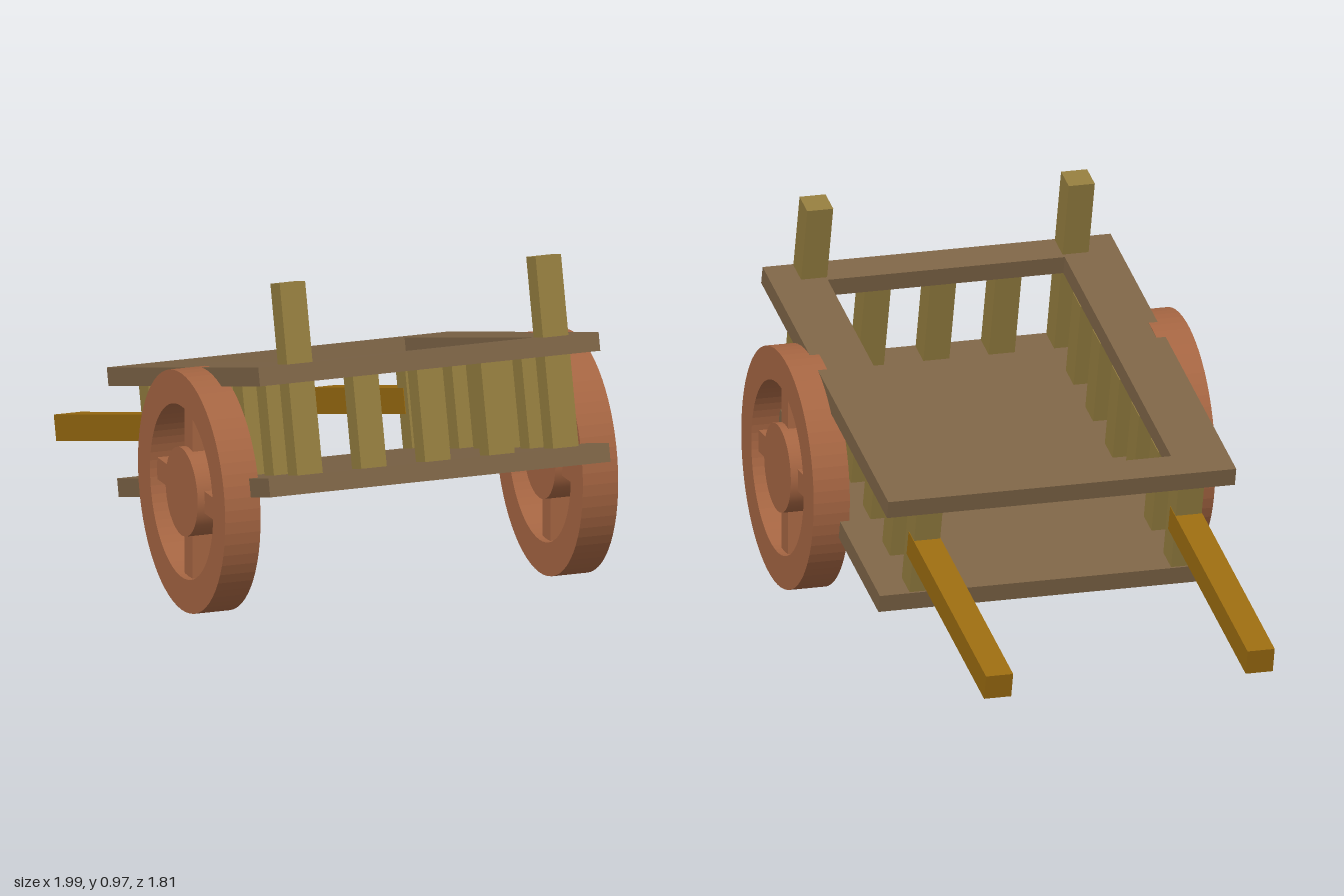
import * as THREE from 'three';

const makeMaterial = (name, color) => {
  const m = new THREE.MeshStandardMaterial({ color });
  m.name = name;
  return m;
};

export function createModel() {
  const frameWood = makeMaterial('frame wood', 0x7d6446);
  const stakeWood = makeMaterial('stake wood', 0x937c3e);
  const handleWood = makeMaterial('handle wood', 0x9a6b10);
  const wheelWood = makeMaterial('wheel wood', 0xa56542);

  const add = (parent, name, geometry, material, x = 0, y = 0, z = 0) => {
    const mesh = new THREE.Mesh(geometry, material);
    mesh.name = name;
    mesh.position.set(x, y, z);
    parent.add(mesh);
    return mesh;
  };

  const model = new THREE.Group();
  model.name = 'handcart';

  // The whole cart is turned about the vertical; its rear points along local +z
  const cart = new THREE.Group();
  cart.name = 'cart';
  cart.rotation.y = Math.atan2(0.795, 0.606);
  cart.position.set(0.007, 0, -0.01);
  model.add(cart);

  // Tilted body, resting with its handles down
  const body = new THREE.Group();
  body.name = 'body';
  body.rotation.x = -THREE.MathUtils.degToRad(15);
  body.position.set(0, 0.275, 0.304);
  cart.add(body);

  const W = 0.963, L = 1.168, T = 0.05;
  const railBase = 0.295;
  add(body, 'deck', new THREE.BoxGeometry(W, T, L), frameWood, 0, T / 2, 0);

  // Top rail: a flat rectangle with a rectangular opening
  const rect = (target, w, l) => {
    target.moveTo(-w / 2, -l / 2);
    target.lineTo(w / 2, -l / 2);
    target.lineTo(w / 2, l / 2);
    target.lineTo(-w / 2, l / 2);
    target.closePath();
    return target;
  };
  const railShape = rect(new THREE.Shape(), W, L);
  railShape.holes.push(rect(new THREE.Path(), 0.656, L - 0.18));
  const railGeo = new THREE.ExtrudeGeometry(railShape, { depth: T, bevelEnabled: false });
  railGeo.rotateX(-Math.PI / 2);
  add(body, 'topRail', railGeo, frameWood, 0, railBase, 0);

  // Stakes between deck and rail
  const S = 0.072, stakeX = 0.362, stakeZ = 0.543;
  const addStake = (name, x, z, top) =>
    add(body, name, new THREE.BoxGeometry(S, top - T, S), stakeWood, x, (top + T) / 2, z);
  for (const side of [-1, 1]) {
    for (let i = 0; i < 6; i++) {
      addStake('sideStake', side * stakeX, -stakeZ + (i * stakeZ) / 3, railBase);
    }
    addStake('rearPost', side * stakeX, stakeZ, 0.56);

    // Pulling handles
    add(body, 'handle', new THREE.BoxGeometry(0.075, 0.07, 0.72), handleWood,
      side * stakeX, 0.176, -0.892);
  }
  for (let i = -1; i <= 1; i++) addStake('rearStake', (i * stakeX) / 2, stakeZ, railBase);

  // Wheels: rim, hub and four spokes
  const R = 0.325, rimInner = 0.235, depth = 0.1;
  const rimShape = new THREE.Shape().absarc(0, 0, R, 0, Math.PI * 2, false);
  rimShape.holes.push(new THREE.Path().absarc(0, 0, rimInner, 0, Math.PI * 2, true));
  const rimGeo = new THREE.ExtrudeGeometry(rimShape, { depth, bevelEnabled: false, curveSegments: 32 });
  rimGeo.translate(0, 0, -depth / 2);
  rimGeo.rotateY(Math.PI / 2);
  const hubGeo = new THREE.CylinderGeometry(0.12, 0.12, depth, 32);
  hubGeo.rotateZ(Math.PI / 2);
  const spokeGeo = new THREE.BoxGeometry(0.06, 0.15, 0.06);
  spokeGeo.translate(0, 0.175, 0);

  for (const side of [-1, 1]) {
    const wheel = new THREE.Group();
    wheel.name = side > 0 ? 'wheelA' : 'wheelB';
    wheel.position.set(side * 0.506, R, 0.404);
    cart.add(wheel);
    add(wheel, 'rim', rimGeo, wheelWood);
    add(wheel, 'hub', hubGeo, wheelWood);
    for (let i = 0; i < 4; i++) {
      add(wheel, 'spoke', spokeGeo, wheelWood).rotation.x = (i * Math.PI) / 2;
    }
  }
  return model;
}
